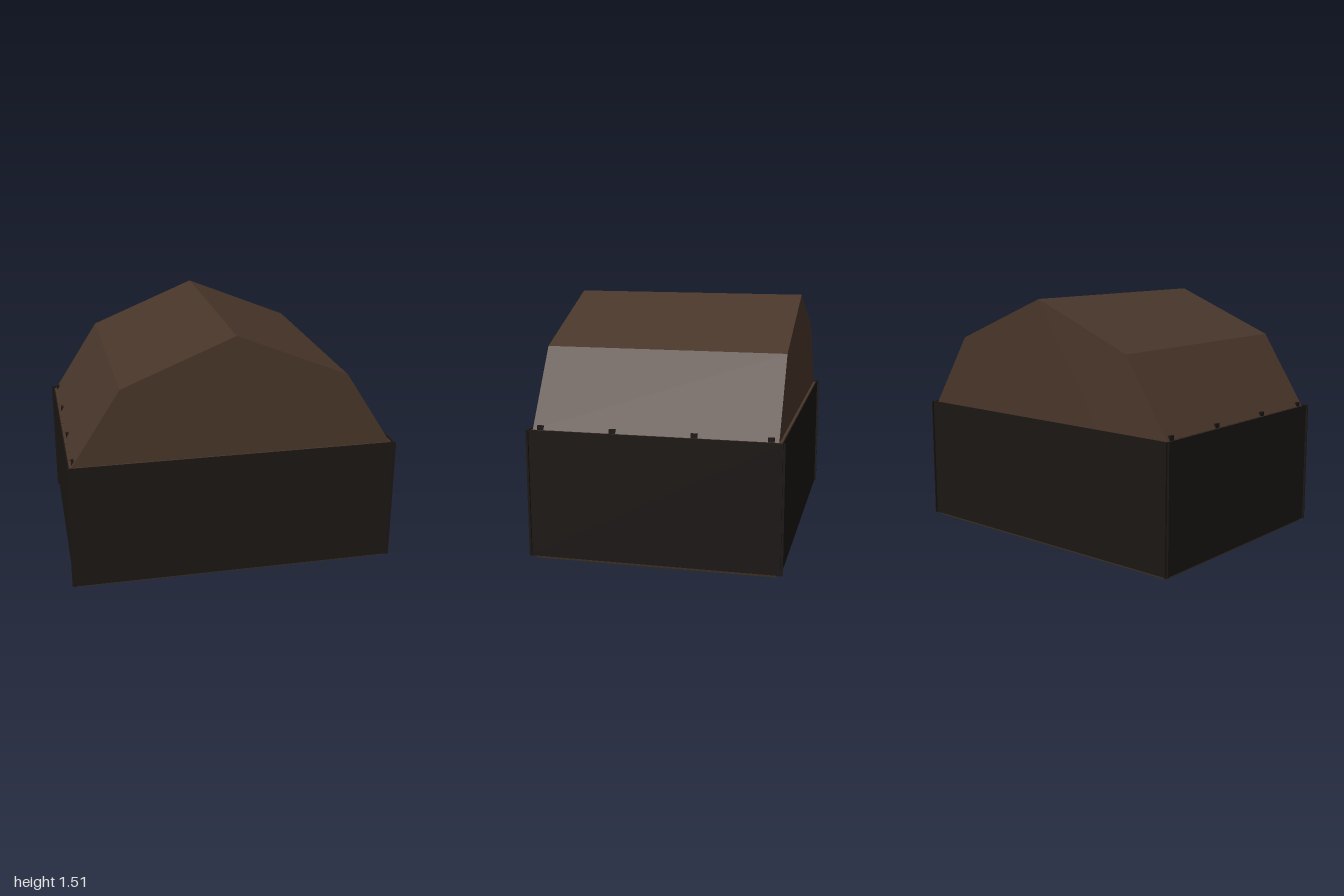
import * as THREE from 'three';

const wood = new THREE.MeshStandardMaterial({ color: 0x49362a, flatShading: true });
const floorWood = new THREE.MeshStandardMaterial({ color: 0x3a2d1e, flatShading: true });
const dark = new THREE.MeshStandardMaterial({ color: 0x1a1614, flatShading: true });

const HX = 0.965, HZ = 0.72;      // half size of the body
const PX = 0.985, PZ = 0.742;     // position of the outer panels
const BOTTOM = 0.02, TOP = 0.787; // panel height range

function box(parent, name, material, size, position) {
  const mesh = new THREE.Mesh(new THREE.BoxGeometry(...size), material);
  mesh.position.set(...position);
  mesh.name = name;
  parent.add(mesh);
  return mesh;
}

export function createModel() {
  const model = new THREE.Group();
  model.name = 'gambrelShed';

  // Body: five-sided roof outline above straight walls
  const outline = new THREE.Shape([
    [-HX, 0.01], [HX, 0.01], [HX, 0.785], [0.675, 1.235],
    [0, 1.51], [-0.675, 1.235], [-HX, 0.785],
  ].map(([x, y]) => new THREE.Vector2(x, y)));
  const bodyGeometry = new THREE.ExtrudeGeometry(outline, { depth: 2 * HZ, bevelEnabled: false });
  bodyGeometry.translate(0, 0, -HZ);
  const body = new THREE.Mesh(bodyGeometry, wood);
  body.name = 'body';
  model.add(body);

  // Floor slab
  box(model, 'floor', floorWood, [2 * HX, 0.01, 2 * HZ], [0, 0.005, 0]);

  const height = TOP - BOTTOM, midY = (TOP + BOTTOM) / 2;
  for (const side of [-1, 1]) {
    // Thin outer panels that cross slightly at the corners
    box(model, 'endPanel', dark, [2, height, 0.006], [0, midY, side * PZ]);
    box(model, 'sidePanel', dark, [0.006, height, 1.515], [side * PX, midY, 0]);

    // Upright boards behind the panels, with narrow gaps
    const endCount = 16, endStep = 2 * HX / endCount;
    for (let i = 0; i < endCount; i++) {
      const x = -HX + (i + 0.5) * endStep;
      box(model, 'endBoard', wood, [endStep - 0.012, height - 0.01, 0.016], [x, midY, side * (HZ + 0.008)]);
    }
    const sideCount = 12, sideStep = 2 * HZ / sideCount;
    for (let i = 0; i < sideCount; i++) {
      const z = -HZ + (i + 0.5) * sideStep;
      box(model, 'sideBoard', wood, [0.014, height - 0.01, sideStep - 0.012], [side * (HX + 0.007), midY, z]);
    }

    // Small pegs along the eaves
    for (const z of [-0.675, -0.24, 0.24, 0.675]) {
      box(model, 'eavePeg', dark, [0.03, 0.04, 0.038], [side * 0.95, 0.79, z]);
    }
  }
  return model;
}
